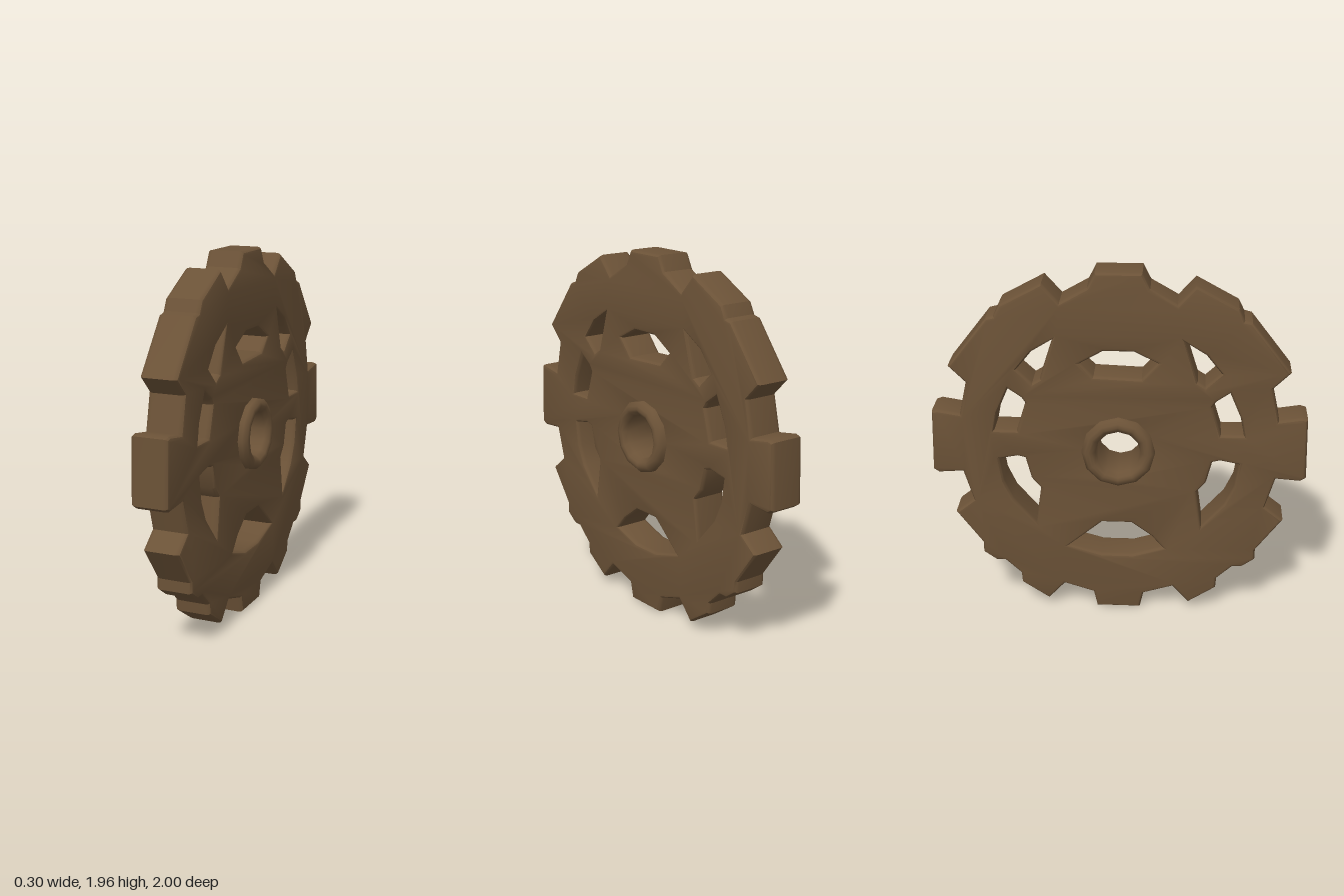
import * as THREE from 'three';
import { toCreasedNormals } from 'three/addons/utils/BufferGeometryUtils.js';

const CENTRE_Y = 0.98;
const toPoints = (list) => list.map(([u, v]) => new THREE.Vector2(u, v));
const mirror = (list) => list.map(([u, v]) => [-u, v]).reverse();

// Half of the toothed rim, clockwise from the top tooth
const rightRim = [
  [0.12, 1.96], [0.16, 1.88], [0.30, 1.80], [0.39, 1.90], [0.61, 1.78], [0.64, 1.72], [0.68, 1.71],
  [0.89, 1.44], [0.80, 1.35], [0.84, 1.17], [0.96, 1.19], [0.99, 1.18],
  [1.00, 0.84], [0.97, 0.82], [0.84, 0.83], [0.79, 0.66], [0.89, 0.58],
  [0.75, 0.39], [0.75, 0.33], [0.68, 0.28], [0.63, 0.28], [0.545, 0.20], [0.54, 0.14],
  [0.39, 0.04], [0.30, 0.14], [0.14, 0.09], [0.12, 0.00],
];

// Openings between the spokes
const sideHoles = [
  [[0.34, 1.60], [0.45, 1.53], [0.53, 1.43], [0.45, 1.355], [0.41, 1.38]],
  [[0.58, 1.32], [0.64, 1.18], [0.66, 1.08], [0.54, 1.08], [0.49, 1.24], [0.51, 1.27]],
  [[0.64, 0.91], [0.62, 0.78], [0.57, 0.67], [0.45, 0.53], [0.42, 0.74], [0.47, 0.80], [0.50, 0.92], [0.54, 0.93]],
];
const topHole = [[-0.20, 1.48], [-0.08, 1.54], [0.08, 1.54], [0.20, 1.47], [0.13, 1.40], [-0.12, 1.39]];
const bottomHole = [[-0.24, 0.39], [-0.08, 0.34], [0.09, 0.34], [0.27, 0.39], [0.09, 0.54], [-0.07, 0.54], [-0.18, 0.46]];

export function createModel() {
  const model = new THREE.Group();
  model.name = 'gearWheel';
  const brown = new THREE.MeshStandardMaterial({ color: 0x6b5237 });
  brown.name = 'brown';

  // Wheel plate with soft edges; the outline runs counter-clockwise
  const outline = [...rightRim, ...mirror(rightRim)].reverse();
  const shape = new THREE.Shape(toPoints(outline));
  const holes = [topHole, bottomHole, ...sideHoles, ...sideHoles.map(mirror)];
  for (const hole of holes) shape.holes.push(new THREE.Path(toPoints(hole)));
  const bore = new THREE.Path();
  bore.absarc(0, CENTRE_Y, 0.15, 0, Math.PI * 2, true);
  shape.holes.push(bore);
  const bevel = 0.025;
  let plate = new THREE.ExtrudeGeometry(shape, {
    depth: 0.2 - 2 * bevel, curveSegments: 6,
    bevelThickness: bevel, bevelSize: bevel * 0.8, bevelOffset: -bevel * 0.8, bevelSegments: 3,
  });
  plate.translate(0, 0, bevel - 0.1);
  plate.rotateY(Math.PI / 2);
  plate = toCreasedNormals(plate, 0.55);
  const wheel = new THREE.Mesh(plate, brown);
  wheel.name = 'toothedWheel';
  model.add(wheel);

  // Hub ring with chamfered lips around the axle bore
  const profile = [
    [0.12, -0.12], [0.14, -0.145], [0.155, -0.15], [0.175, -0.147], [0.195, -0.125],
    [0.195, 0.125], [0.175, 0.147], [0.155, 0.15], [0.14, 0.145], [0.12, 0.12], [0.12, -0.12],
  ];
  let ring = new THREE.LatheGeometry(toPoints(profile), 12);
  ring.rotateZ(-Math.PI / 2);
  ring = toCreasedNormals(ring, 0.9);
  const hub = new THREE.Mesh(ring, brown);
  hub.name = 'hub';
  hub.position.y = CENTRE_Y;
  model.add(hub);

  return model;
}
